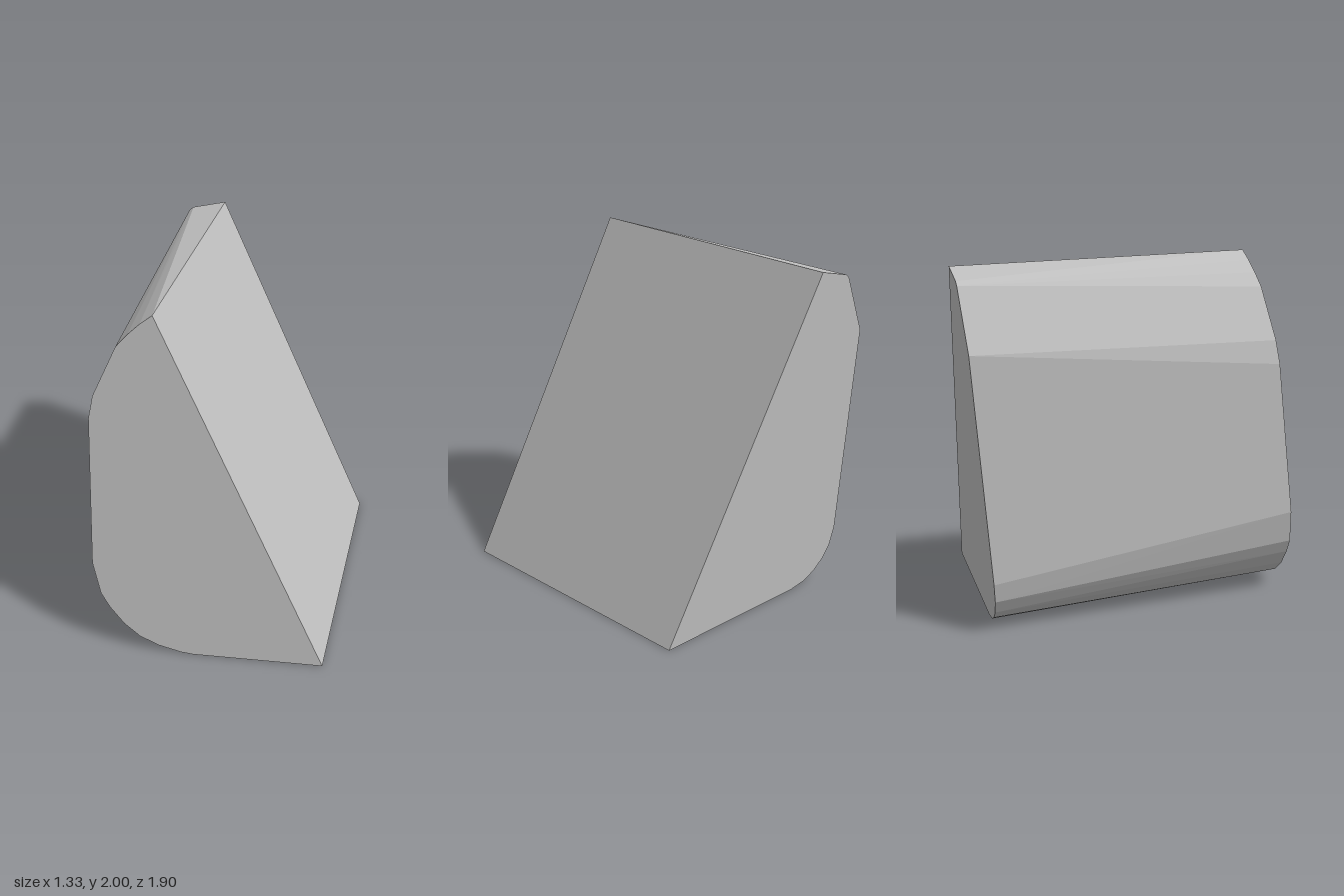
import * as THREE from 'three';
import { ConvexGeometry } from 'three/addons/geometries/ConvexGeometry.js';

// Front and back outlines as x, y pairs
const FRONT = [
  [-0.32, 2], [-0.386, 1.95], [-0.45, 1.89], [-0.513, 1.82], [-0.64, 1.54], [-0.665, 1.41],
  [-0.665, 0.54], [-0.62, 0.35], [-0.57, 0.265], [-0.49, 0.165], [-0.4, 0.09], [-0.29, 0.04],
  [-0.165, 0.008], [-0.095, 0], [0.635, 0],
];
const BACK = [
  [-0.28, 1.975], [-0.48, 1.925], [-0.505, 1.905], [-0.665, 1.57],
  [-0.665, 0.31], [-0.64, 0.2], [-0.59, 0.12], [-0.52, 0.06], [-0.44, 0.02], [-0.32, 0],
  [0.665, 0],
];

// Places an outline on the slanted plane z = a + b*x + c*y
const onPlane = (outline, a, b, c) =>
  outline.map(([x, y]) => new THREE.Vector3(x, y, a + b * x + c * y));

export function createModel() {
  const group = new THREE.Group();
  group.name = 'wedgeBlock';

  const grey = new THREE.MeshStandardMaterial({ color: 0xc0c0c0 });
  grey.name = 'light grey';

  // Solid block spanning the two leaning end faces
  const block = new THREE.Mesh(
    new ConvexGeometry([
      ...onPlane(FRONT, 0.939, -0.054, -0.12),
      ...onPlane(BACK, -0.769, 0.051, -0.082),
    ]),
    grey,
  );
  block.name = 'block';
  group.add(block);
  return group;
}
